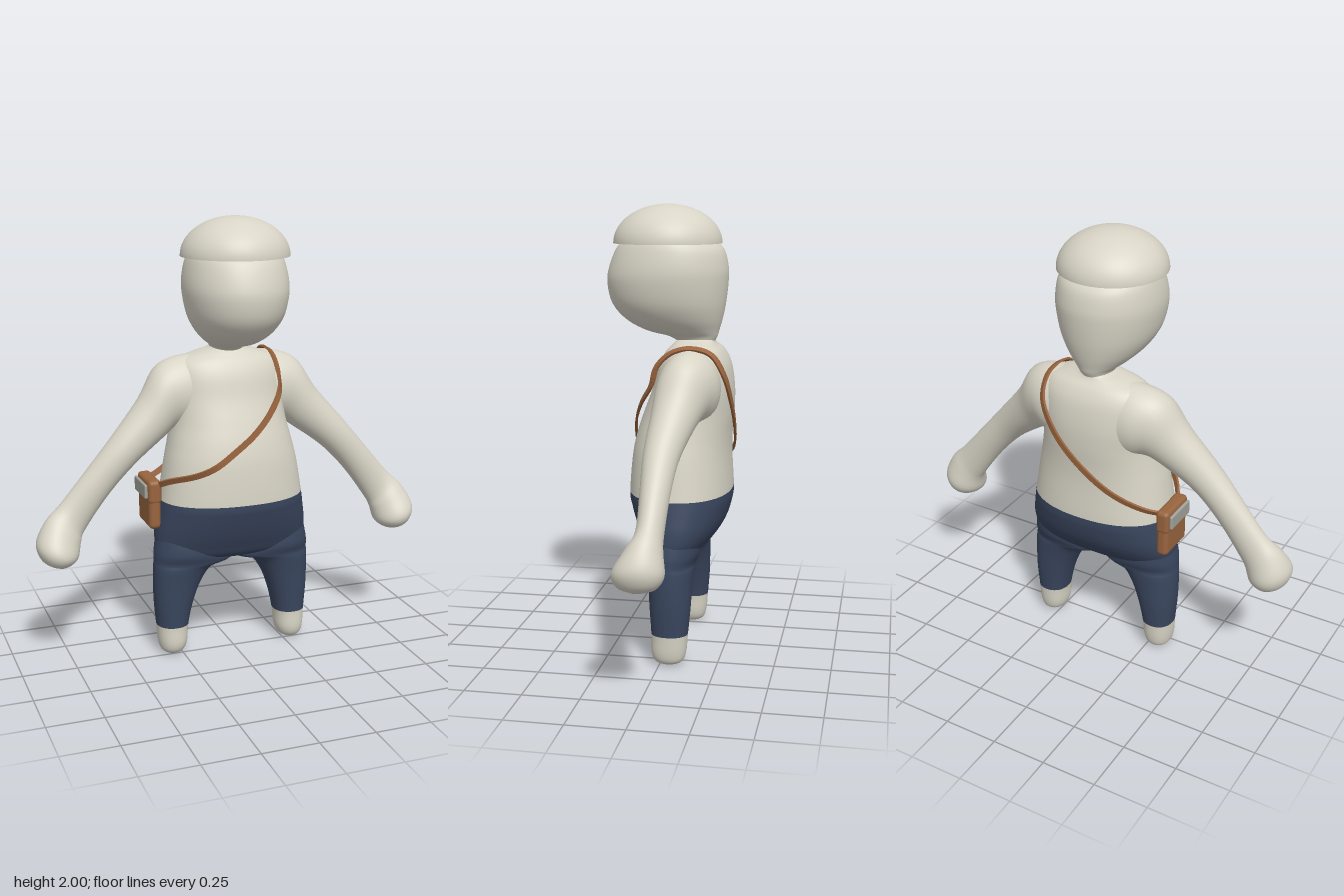
import * as THREE from 'three';
import { RoundedBoxGeometry } from 'three/addons/geometries/RoundedBoxGeometry.js';

const mat = (name, color) => {
  const m = new THREE.MeshStandardMaterial({ color });
  m.name = name;
  return m;
};

// Smooth loft. Each section is [ax, ay, bx, by, zFront, zBack]: a line in xy
// from a to b widened in z into a superellipse. From section `split` on, the
// second material is used (a list gives alternating bands).
function loft(sections, { n = 2, splits = [], sub = 5, sides = 40 } = {}) {
  const last = sections.length - 1;
  const catmull = (t) => {
    const i = Math.min(Math.floor(t), last - 1), f = t - i;
    const at = (k) => sections[Math.max(0, Math.min(last, k))];
    return sections[0].map((_, c) => {
      const p0 = at(i - 1)[c], p1 = at(i)[c], p2 = at(i + 1)[c], p3 = at(i + 2)[c];
      return p1 + 0.5 * f * (p2 - p0 + f * (2 * p0 - 5 * p1 + 4 * p2 - p3 + f * (3 * (p1 - p2) + p3 - p0)));
    });
  };
  const pow = (v) => Math.sign(v) * Math.abs(v) ** (2 / n);
  const pos = [], idx = [], rings = last * sub + 1;
  for (let r = 0; r < rings; r++) {
    const [ax, ay, bx, by, zf, zb] = catmull(r / sub);
    for (let s = 0; s < sides; s++) {
      const a = (s / sides) * Math.PI * 2, c = pow(Math.cos(a)), d = pow(Math.sin(a));
      pos.push((ax + bx) / 2 + c * (bx - ax) / 2, (ay + by) / 2 + c * (by - ay) / 2, (zf + zb) / 2 + d * (zf - zb) / 2);
    }
  }
  const ends = [sections[0], sections[last]].map(([ax, ay, bx, by, zf, zb]) => {
    pos.push((ax + bx) / 2, (ay + by) / 2, (zf + zb) / 2);
    return pos.length / 3 - 1;
  });
  const ringIndex = (r, s) => r * sides + (s % sides);
  for (let s = 0; s < sides; s++) idx.push(ends[0], ringIndex(0, s), ringIndex(0, s + 1));
  for (let r = 0; r < rings - 1; r++) {
    for (let s = 0; s < sides; s++) {
      const a = ringIndex(r, s), b = ringIndex(r, s + 1), c = ringIndex(r + 1, s), d = ringIndex(r + 1, s + 1);
      idx.push(a, c, b, b, c, d);
    }
  }
  for (let s = 0; s < sides; s++) idx.push(ends[1], ringIndex(rings - 1, s + 1), ringIndex(rings - 1, s));

  // Turn the faces outward if the enclosed volume comes out negative
  const v = (i) => new THREE.Vector3().fromArray(pos, i * 3);
  let volume = 0;
  for (let i = 0; i < idx.length; i += 3) volume += v(idx[i]).dot(v(idx[i + 1]).cross(v(idx[i + 2])));
  if (volume < 0) for (let i = 0; i < idx.length; i += 3) [idx[i], idx[i + 1]] = [idx[i + 1], idx[i]];

  const geo = new THREE.BufferGeometry();
  geo.setAttribute('position', new THREE.Float32BufferAttribute(pos, 3));
  geo.setIndex(idx);
  geo.computeVertexNormals();
  let start = 0;
  [...splits.map((k) => sides * 3 + k * sub * sides * 6), idx.length].forEach((end, i) => {
    geo.addGroup(start, end - start, i % 2);
    start = end;
  });
  return geo;
}

const level = (x0, x1, y, zf, zb) => [x0, y, x1, y, zf, zb];
const mirrored = (sections, side) => sections.map(([ax, ay, bx, by, zf, zb]) => [ax * side, ay, bx * side, by, zf, zb]);

// Flat band following a curve, facing away from a centre point
function band(points, centre, width, thick, steps = 120) {
  const curve = new THREE.CatmullRomCurve3(points.map((p) => new THREE.Vector3(...p)));
  const pos = [], idx = [];
  for (let i = 0; i <= steps; i++) {
    const p = curve.getPointAt(i / steps), t = curve.getTangentAt(i / steps);
    const out = p.clone().sub(centre);
    out.addScaledVector(t, -out.dot(t)).normalize();
    const side = t.clone().cross(out);
    for (const [w, h] of [[-1, -1], [1, -1], [1, 1], [-1, 1]]) {
      pos.push(...p.clone().addScaledVector(side, w * width / 2).addScaledVector(out, h * thick / 2).toArray());
    }
    if (i === steps) break;
    for (let k = 0; k < 4; k++) {
      const a = i * 4 + k, b = i * 4 + (k + 1) % 4;
      idx.push(a, a + 4, b, b, a + 4, b + 4);
    }
  }
  const geo = new THREE.BufferGeometry();
  geo.setAttribute('position', new THREE.Float32BufferAttribute(pos, 3));
  geo.setIndex(idx);
  const flat = geo.toNonIndexed();
  flat.computeVertexNormals();
  return flat;
}

export function createModel() {
  const model = new THREE.Group();
  const cream = mat('cream', 0xd8d4c6);
  const navy = mat('navy', 0x3a465e);
  const leather = mat('leather', 0x98643e);
  const metal = mat('metal', 0xa2a29a);
  leather.side = THREE.DoubleSide;

  const add = (name, geo, material, parent = model) => {
    const mesh = new THREE.Mesh(geo, material);
    mesh.name = name;
    parent.add(mesh);
    return mesh;
  };

  // Torso, from crotch to neck: trousers below the waist
  const torso = [
    [0.2, 0.45, 0.02, -0.09], [0.33, 0.48, 0.08, -0.15], [0.358, 0.53, 0.11, -0.2],
    [0.358, 0.6, 0.143, -0.245], [0.345, 0.68, 0.17, -0.27], [0.335, 0.74, 0.18, -0.276],
    [0.308, 0.9, 0.168, -0.268], [0.285, 1.0, 0.148, -0.27], [0.265, 1.1, 0.115, -0.278],
    [0.265, 1.2, 0.078, -0.278], [0.26, 1.3, 0.05, -0.262], [0.23, 1.36, 0.02, -0.232],
    [0.15, 1.392, -0.01, -0.2], [0.068, 1.415, -0.03, -0.19], [0.07, 1.46, -0.03, -0.19],
  ].map(([w, y, zf, zb]) => level(-w, w, y, zf, zb));
  add('torso', loft(torso, { n: 2.25, splits: [5], sides: 64 }), [navy, cream]);

  // Legs, with trouser hem above the feet
  const leg = [
    level(0.08, 0.35, 0.6, 0.07, -0.16), level(0.03, 0.368, 0.5, 0.085, -0.16),
    level(0, 0.371, 0.45, 0.072, -0.145), level(0.095, 0.373, 0.42, 0.066, -0.14),
    level(0.15, 0.374, 0.35, 0.056, -0.135), level(0.19, 0.371, 0.25, 0.048, -0.131),
    level(0.215, 0.362, 0.14, 0.04, -0.122), level(0.223, 0.356, 0.06, 0.04, -0.115),
    level(0.24, 0.343, 0.018, 0.025, -0.1), level(0.272, 0.313, 0, -0.005, -0.065),
  ];

  // Arms, from inside the chest down to the mitten hand
  const arm = [
    [0.05, 1.38, 0.05, 1.0, 0.0, -0.23], [0.2, 1.384, 0.2, 1.05, 0.02, -0.245],
    [0.33, 1.34, 0.255, 1.06, 0.02, -0.215], [0.42, 1.205, 0.32, 1.02, 0.025, -0.17],
    [0.56, 1.04, 0.455, 0.92, 0.03, -0.122], [0.675, 0.905, 0.575, 0.795, 0.02, -0.105],
    [0.79, 0.77, 0.685, 0.645, 0.015, -0.1], [0.862, 0.7, 0.71, 0.595, 0.05, -0.108],
    [0.91, 0.61, 0.73, 0.53, 0.095, -0.118], [0.895, 0.54, 0.775, 0.497, 0.07, -0.085],
    [0.855, 0.505, 0.82, 0.492, 0.01, -0.02],
  ];
  for (const [side, label] of [[1, 'left'], [-1, 'right']]) {
    add(label + 'Leg', loft(mirrored(leg, side), { n: 2.2, splits: [6] }), [navy, cream]);
    add(label + 'Arm', loft(mirrored(arm, side)), cream);
  }

  // Head, with the face bulging forward over the neck
  const head = [
    [0.066, 1.4, -0.03, -0.19], [0.08, 1.425, 0.02, -0.203], [0.115, 1.45, 0.12, -0.21],
    [0.165, 1.5, 0.21, -0.224], [0.205, 1.57, 0.268, -0.238], [0.226, 1.66, 0.288, -0.248],
    [0.228, 1.73, 0.278, -0.248], [0.213, 1.81, 0.245, -0.225], [0.19, 1.86, 0.2, -0.16],
  ].map(([w, y, zf, zb]) => level(-w, w, y, zf, zb));
  add('head', loft(head, { n: 2.1, sides: 56 }), cream);

  // Domed cap with a flat underside
  const cap = new THREE.Group();
  cap.name = 'cap';
  cap.position.set(0, 1.83, 0.02);
  model.add(cap);
  add('capDome', new THREE.SphereGeometry(0.24, 48, 16, 0, Math.PI * 2, 0, Math.PI / 2), cream, cap).scale.y = 0.17 / 0.24;
  add('capUnderside', new THREE.CircleGeometry(0.24, 48).rotateX(Math.PI / 2), cream, cap);

  // Shoulder strap: up the front, over the left shoulder, down the back
  const strap = [
    [-0.362, 0.81, -0.03], [-0.32, 0.845, 0.04], [-0.22, 0.89, 0.145], [-0.15, 0.93, 0.188],
    [-0.06, 0.985, 0.178], [0.05, 1.06, 0.152], [0.14, 1.145, 0.11], [0.2, 1.23, 0.056],
    [0.2, 1.31, 0.032], [0.2, 1.372, -0.035], [0.2, 1.39, -0.12], [0.2, 1.365, -0.205],
    [0.19, 1.28, -0.258], [0.12, 1.15, -0.283], [0, 1.02, -0.284], [-0.15, 0.905, -0.262],
    [-0.28, 0.835, -0.208], [-0.362, 0.81, -0.16],
  ];
  add('strap', band(strap, new THREE.Vector3(-0.03, 1.0, -0.08), 0.026, 0.01), leather);

  // Satchel on the right hip with a metal clasp
  const bag = new THREE.Group();
  bag.name = 'satchel';
  bag.position.set(-0.369, 0.725, -0.1);
  model.add(bag);
  add('bagBody', new RoundedBoxGeometry(0.056, 0.225, 0.195, 4, 0.022), leather, bag);
  add('bagFlap', new RoundedBoxGeometry(0.062, 0.11, 0.2, 3, 0.02), leather, bag).position.y = 0.06;
  add('clasp', new RoundedBoxGeometry(0.016, 0.066, 0.17, 3, 0.007), metal, bag).position.set(-0.039, 0.065, 0);

  return model;
}
